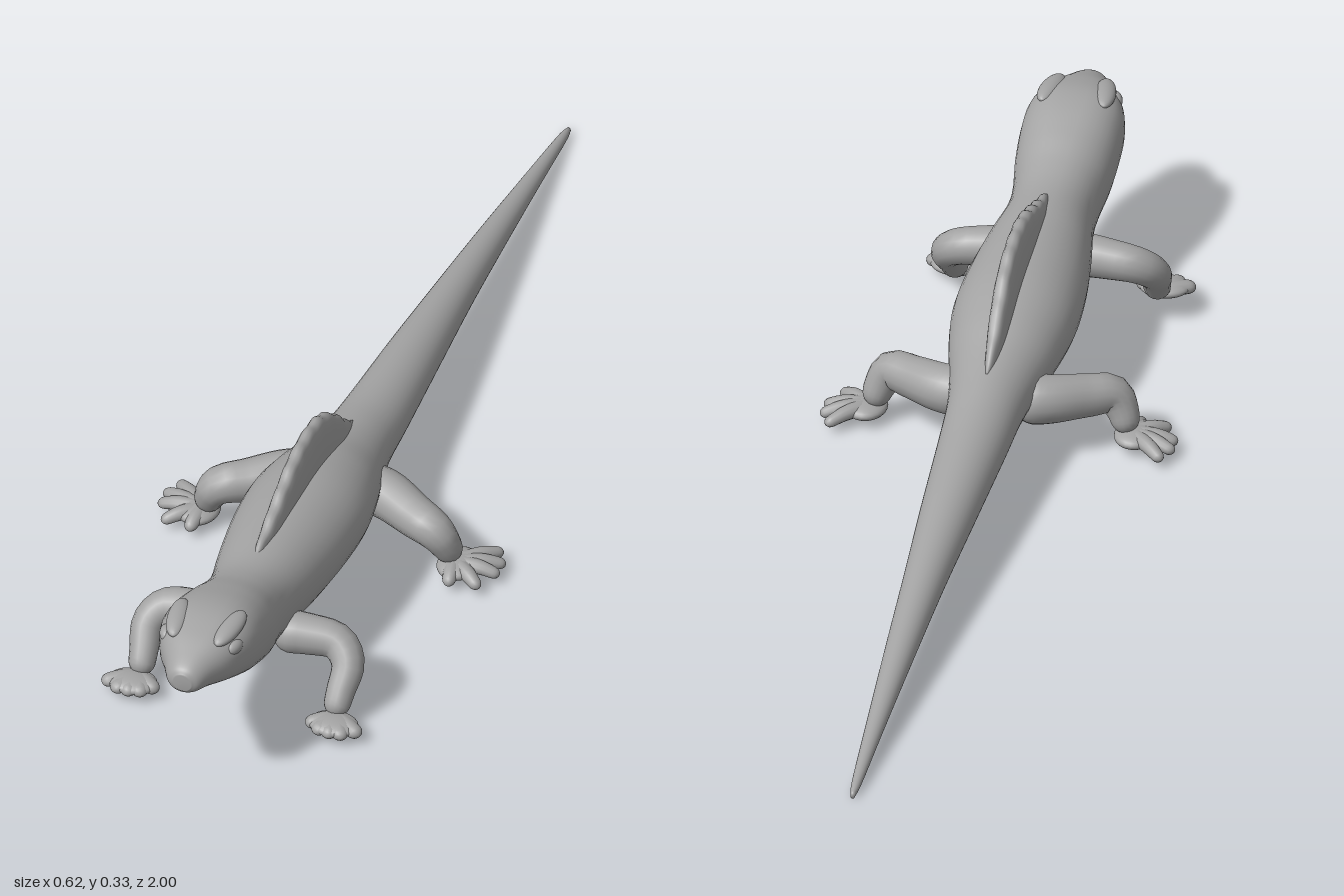
import * as THREE from 'three';

const skin = new THREE.MeshStandardMaterial({ color: 0xa3a3a3 });
skin.name = 'grey skin';

// Skin a list of closed rings (equal point counts) with smooth shared normals
function loft(name, rings) {
  const n = rings[0].length, index = [];
  for (let i = 0; i < rings.length - 1; i++) {
    for (let j = 0; j < n; j++) {
      const a = i * n + j, b = i * n + (j + 1) % n;
      index.push(a, b, a + n, b, b + n, a + n);
    }
  }
  const geo = new THREE.BufferGeometry().setFromPoints(rings.flat());
  geo.setIndex(index);
  geo.computeVertexNormals();
  const mesh = new THREE.Mesh(geo, skin);
  mesh.name = name;
  return mesh;
}

// Loft along z from stations [z, top, bottom, halfWidth, squareness exponent]
function hull(name, stations, mid, steps, wave = () => 0, n = 36) {
  const spline = (f) => new THREE.CatmullRomCurve3(stations.map(f), false, 'catmullrom');
  const heights = spline((s) => new THREE.Vector3(s[0], s[1], s[2]));
  const widths = spline((s) => new THREE.Vector3(s[0], s[3], s[4]));
  const pw = (v, e) => Math.sign(v) * Math.abs(v) ** e;
  const rings = [];
  for (let i = 0; i <= steps; i++) {
    const h = heights.getPoint(i / steps), w = widths.getPoint(i / steps);
    const cy = h.z + (h.y - h.z) * mid;
    const ring = [];
    for (let j = 0; j < n; j++) {
      const a = j / n * Math.PI * 2, c = Math.cos(a);
      const y = cy + pw(c, w.z) * (c > 0 ? h.y + wave(h.x) - cy : cy - h.z);
      ring.push(new THREE.Vector3(w.y * pw(Math.sin(a), w.z), y, h.x));
    }
    rings.push(ring);
  }
  // close both ends on their centres
  const close = (r) => {
    const c = r.reduce((s, p) => s.add(p), new THREE.Vector3()).divideScalar(n);
    return r.map(() => c.clone());
  };
  return loft(name, [close(rings[0]), ...rings, close(rings[steps])]);
}

// Round-ended limb through points [x, y, z, radius]; side mirrors x, flat squashes y
function limb(name, side, pts, flat = 1, steps = 28, n = 16) {
  const curve = new THREE.CatmullRomCurve3(pts.map((p) => new THREE.Vector3(p[0] * side, p[1], p[2])));
  const radii = new THREE.CatmullRomCurve3(pts.map((p) => new THREE.Vector3(p[3], 0, 0)), false, 'catmullrom');
  const length = curve.getLength(), rings = [];
  const frames = curve.computeFrenetFrames(200, false);
  for (let i = 0; i <= steps; i++) {
    const k = Math.round(100 * (1 - Math.cos(Math.PI * i / steps)));
    const u = k / 200, c = curve.getPointAt(u);
    let r = radii.getPoint(curve.getUtoTmapping(u)).x;
    const s = Math.min(1, Math.min(u, 1 - u) * length / r);
    r *= Math.sqrt(1 - (1 - s) ** 2);
    const ring = [];
    for (let j = 0; j < n; j++) {
      const a = j / n * Math.PI * 2;
      const o = frames.normals[k].clone().multiplyScalar(Math.cos(a) * r)
        .addScaledVector(frames.binormals[k], Math.sin(a) * r);
      o.y *= flat;
      ring.push(o.add(c));
    }
    rings.push(ring);
  }
  return loft(name, rings);
}

function blob(name, pos, size, yaw = 0, pitch = 0) {
  const mesh = new THREE.Mesh(new THREE.SphereGeometry(1, 24, 16), skin);
  mesh.name = name;
  mesh.position.set(...pos);
  mesh.scale.set(...size);
  mesh.rotation.set(pitch, yaw, 0);
  return mesh;
}

export function createModel() {
  const model = new THREE.Group();
  model.name = 'crestedLizard';

  // head, trunk and tail in one skin
  model.add(hull('body', [
    [1.0, 0.275, 0.243, 0.016, 1],
    [0.99, 0.286, 0.234, 0.03, 0.95],
    [0.96, 0.299, 0.225, 0.046, 0.9],
    [0.92, 0.312, 0.21, 0.068, 0.82],
    [0.87, 0.32, 0.19, 0.085, 0.8],
    [0.82, 0.315, 0.167, 0.088, 0.82],
    [0.76, 0.297, 0.14, 0.085, 0.88],
    [0.7, 0.275, 0.12, 0.077, 0.92],
    [0.64, 0.263, 0.107, 0.078, 0.95],
    [0.55, 0.262, 0.095, 0.093, 0.97],
    [0.45, 0.26, 0.087, 0.105, 1],
    [0.35, 0.252, 0.082, 0.108, 1],
    [0.26, 0.233, 0.078, 0.096, 1],
    [0.18, 0.207, 0.075, 0.078, 1],
    [0.1, 0.187, 0.072, 0.066, 1],
    [0, 0.168, 0.068, 0.06, 1],
    [-0.2, 0.146, 0.062, 0.049, 1],
    [-0.4, 0.12, 0.053, 0.037, 1],
    [-0.6, 0.089, 0.04, 0.027, 1],
    [-0.8, 0.054, 0.024, 0.017, 1],
    [-0.96, 0.025, 0.008, 0.009, 1],
    [-1.0, 0.015, 0.004, 0.004, 1],
  ], 0.46, 126));

  // sail along the back with a slightly scalloped edge
  model.add(hull('backSail', [
    [0.63, 0.258, 0.2, 0.006, 0.8],
    [0.55, 0.284, 0.2, 0.014, 0.7],
    [0.48, 0.311, 0.2, 0.016, 0.7],
    [0.42, 0.33, 0.2, 0.017, 0.7],
    [0.36, 0.335, 0.19, 0.017, 0.7],
    [0.3, 0.326, 0.18, 0.017, 0.7],
    [0.25, 0.301, 0.17, 0.017, 0.7],
    [0.2, 0.26, 0.16, 0.015, 0.7],
    [0.16, 0.222, 0.15, 0.011, 0.8],
    [0.12, 0.192, 0.14, 0.005, 0.8],
  ], 0.5, 90, (z) => 0.002 * Math.sin(z * 130), 20));

  for (const s of [1, -1]) {
    const side = s > 0 ? 'left' : 'right';

    // brow ridge and eye
    model.add(blob(side + 'Brow', [s * 0.047, 0.306, 0.885], [0.019, 0.013, 0.05], s * -0.15, 0.06));
    model.add(blob(side + 'Eye', [s * 0.061, 0.284, 0.905], [0.012, 0.013, 0.02], s * -0.35));

    // front leg
    model.add(limb(side + 'FrontLeg', s, [
      [0.04, 0.13, 0.645, 0.04],
      [0.1, 0.13, 0.637, 0.036],
      [0.155, 0.124, 0.635, 0.032],
      [0.18, 0.1, 0.655, 0.029],
      [0.178, 0.062, 0.688, 0.025],
      [0.175, 0.028, 0.715, 0.022],
    ]));
    // front foot: short fan of fused toes
    model.add(blob(side + 'FrontPalm', [s * 0.182, 0.027, 0.735], [0.044, 0.014, 0.034]));
    [[0.135, 0.747], [0.157, 0.766], [0.182, 0.771], [0.207, 0.768], [0.233, 0.75]].forEach(([x, z], i) =>
      model.add(limb(side + 'FrontToe' + (i + 1), s, [
        [0.18, 0.028, 0.715, 0.014],
        [(0.18 + x) / 2, 0.028, (0.715 + z) / 2, 0.015],
        [x, 0.024, z, 0.014],
      ], 0.8, 16, 12)));

    // hind leg
    model.add(limb(side + 'HindLeg', s, [
      [0.03, 0.11, 0.18, 0.045],
      [0.09, 0.108, 0.195, 0.043],
      [0.15, 0.103, 0.228, 0.038],
      [0.193, 0.098, 0.25, 0.034],
      [0.212, 0.07, 0.245, 0.028],
      [0.222, 0.035, 0.232, 0.023],
    ]));
    // hind foot: longer spread toes
    model.add(blob(side + 'HindPalm', [s * 0.235, 0.029, 0.24], [0.037, 0.016, 0.045]));
    [[0.293, 0.175], [0.309, 0.207], [0.309, 0.24], [0.287, 0.287], [0.235, 0.297]].forEach(([x, z], i) =>
      model.add(limb(side + 'HindToe' + (i + 1), s, [
        [0.228, 0.03, 0.24, 0.016],
        [0.228 + (x - 0.228) * 0.55, 0.031, 0.24 + (z - 0.24) * 0.55, 0.014],
        [x, 0.022, z, 0.01],
      ], 0.9, 16, 12)));
  }
  return model;
}
